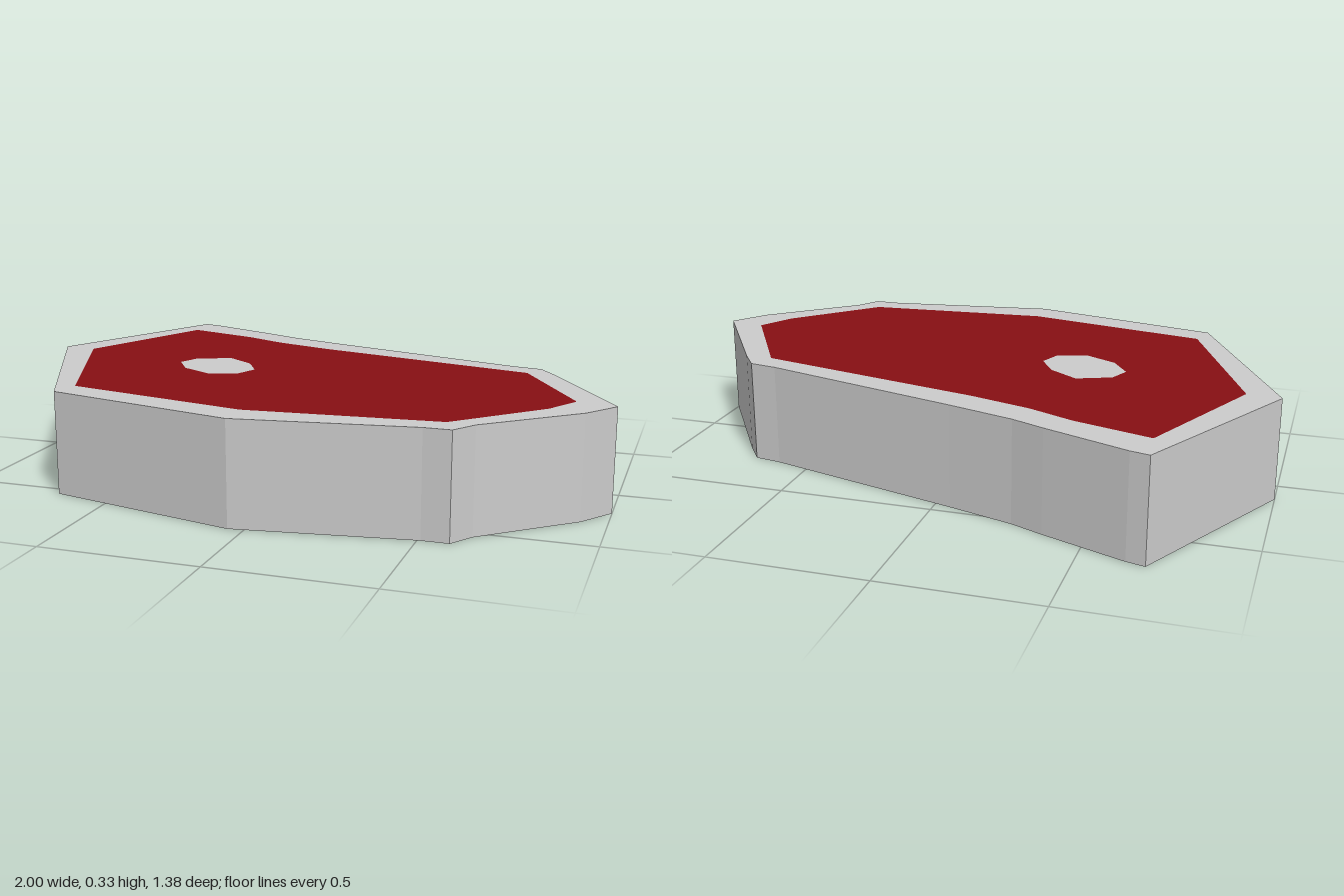
import * as THREE from 'three';
import { mergeGeometries } from 'three/addons/utils/BufferGeometryUtils.js';

const HEIGHT = 0.333;

// Outlines as [x, z], running clockwise as seen from above
const RIM = [
  [-0.7, -0.695], [-0.64, -0.68], [-0.37, -0.575], [-0.265, -0.53], [-0.05, -0.465],
  [0.61, -0.28], [0.7, -0.265], [0.755, -0.19], [1, 0.19], [0.92, 0.3], [0.645, 0.535],
  [0.595, 0.61], [0.51, 0.61], [-0.05, 0.69], [-0.685, 0.545], [-1, -0.11],
];
const MEAT = [
  [-0.685, -0.565], [-0.435, -0.49], [-0.29, -0.425], [-0.09, -0.365], [0.665, -0.19],
  [0.875, 0.165], [0.81, 0.28], [0.56, 0.53], [-0.05, 0.58], [-0.66, 0.455], [-0.89, -0.1],
];
const BONE = [
  [-0.355, -0.105], [-0.26, -0.04], [-0.21, 0.045], [-0.24, 0.12],
  [-0.335, 0.15], [-0.44, 0.095], [-0.495, 0.01], [-0.465, -0.06],
];

const toPoints = (outline) => outline.map(([x, z]) => new THREE.Vector2(x, -z));

// Matching flat faces on the top and the underside, with an optional hole
function cutFaces(outline, hole) {
  const shape = new THREE.Shape(toPoints(outline));
  if (hole) shape.holes.push(new THREE.Path(toPoints(hole)));
  const top = new THREE.ShapeGeometry(shape).rotateX(-Math.PI / 2);
  const bottom = top.clone();
  bottom.index.array.reverse();
  top.translate(0, HEIGHT, 0);
  return mergeGeometries([top.toNonIndexed(), bottom.toNonIndexed()]);
}

// Flat-sided vertical band around an outline
function wall(outline) {
  const positions = [];
  outline.forEach(([ax, az], i) => {
    const [bx, bz] = outline[(i + 1) % outline.length];
    positions.push(ax, 0, az, ax, HEIGHT, az, bx, HEIGHT, bz);
    positions.push(ax, 0, az, bx, HEIGHT, bz, bx, 0, bz);
  });
  const geometry = new THREE.BufferGeometry();
  geometry.setAttribute('position', new THREE.Float32BufferAttribute(positions, 3));
  return geometry;
}

export function createModel() {
  const group = new THREE.Group();
  group.name = 'steak';
  const grey = new THREE.MeshStandardMaterial({ color: 0xcccccc, flatShading: true });
  const red = new THREE.MeshStandardMaterial({ color: 0x870f13, flatShading: true });

  const add = (name, geometry, material) => {
    geometry.computeVertexNormals();
    const mesh = new THREE.Mesh(geometry, material);
    mesh.name = name;
    group.add(mesh);
  };

  // Fat rim: outer side and the border on both cut faces
  add('fatSide', wall(RIM), grey);
  add('fatRim', cutFaces(RIM, MEAT), grey);
  // Red meat around the bone
  add('meat', cutFaces(MEAT, BONE), red);
  // Bone cross-section, flush with the meat
  add('bone', cutFaces(BONE), grey);

  return group;
}
